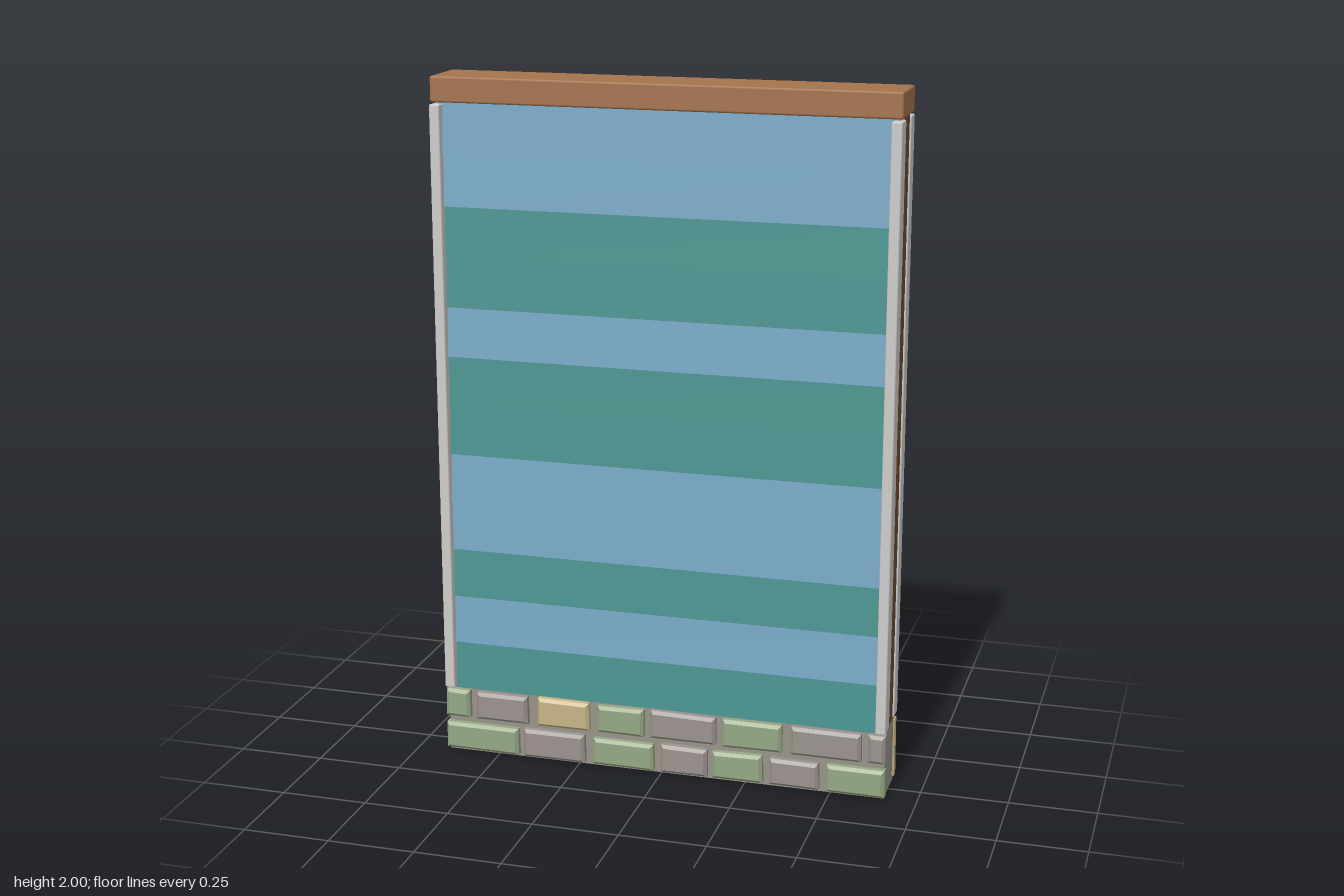
import * as THREE from 'three';
import { RoundedBoxGeometry } from 'three/addons/geometries/RoundedBoxGeometry.js';

function mat(name, color) {
  const m = new THREE.MeshStandardMaterial({ color });
  m.name = name;
  return m;
}

export function createModel() {
  const M = {
    beam: mat('brown wood', 0xa5734d),
    light: mat('light wood', 0xc49c6f),
    core: mat('dark wood', 0x6e4a32),
    blue: mat('blue paint', 0x78a8c6),
    teal: mat('teal paint', 0x4a9490),
    trim: mat('pale trim', 0xcfcdca),
    mortar: mat('mortar', 0x98948a),
    grey: mat('grey stone', 0x9b938f),
    green: mat('green stone', 0x95a884),
    sand: mat('sand stone', 0xc7b487),
  };
  const group = new THREE.Group();

  function add(name, geometry, material, x, y, z, rx = 0, rz = 0) {
    const mesh = new THREE.Mesh(geometry, material);
    mesh.name = name;
    mesh.position.set(x, y, z);
    mesh.rotation.set(rx, 0, rz);
    group.add(mesh);
    return mesh;
  }
  const box = (w, h, d) => new THREE.BoxGeometry(w, h, d);

  // Small repeatable variation between -1 and 1
  let seed = 7;
  const vary = () => {
    seed = (seed * 16807) % 2147483647;
    return (seed / 2147483647) * 2 - 1;
  };

  // Foundation, wall core and cap beam
  add('foundation', box(1.31, 0.2, 0.145), M.mortar, 0, 0.1, -0.003);
  add('wallCore', box(1.31, 1.74, 0.08), M.core, 0, 1.065, -0.002);
  add('capBeam', new RoundedBoxGeometry(1.32, 0.072, 0.17, 1, 0.006), M.beam, 0, 1.964, 0);

  // Corner trims on both faces
  for (const s of [-1, 1]) {
    add('frontTrim', new RoundedBoxGeometry(0.03, 1.72, 0.058, 1, 0.004), M.trim, s * 0.645, 1.063, 0.065);
    add('backTrim', new RoundedBoxGeometry(0.03, 1.72, 0.05, 1, 0.004), M.trim, s * 0.645, 1.063, -0.066);
  }

  // Lapped boards, listed from the bottom up
  const step = 1.727 / 12;
  const front = 'tbtbbttbttbb';
  const back = 'dllllddllddd';
  for (let i = 0; i < 12; i++) {
    const y = 0.2 + step * (i + 0.5);
    add('frontBoard', box(1.3, step + 0.004, 0.02), front[i] === 't' ? M.teal : M.blue,
      0, y, 0.06, -0.06, vary() * 0.001);
    add('backBoard', box(1.3, step - 0.01, 0.016), back[i] === 'd' ? M.beam : M.light,
      0, y, -0.054, 0.05, vary() * 0.001);
  }

  // Bevelled, slightly uneven stone whose outer face lies at z = 0
  function stoneGeometry(w, h, bevel) {
    const j = () => vary() * 0.003;
    const shape = new THREE.Shape([
      new THREE.Vector2(-w / 2, -h / 2 + Math.abs(j())),
      new THREE.Vector2(w / 2, -h / 2 + Math.abs(j())),
      new THREE.Vector2(w / 2 - Math.abs(j()), h / 2 + j()),
      new THREE.Vector2(-w / 2 + Math.abs(j()), h / 2 + j()),
    ]);
    const g = new THREE.ExtrudeGeometry(shape, {
      depth: 0.025, bevelEnabled: true, bevelSegments: 1,
      bevelSize: bevel, bevelThickness: bevel, bevelOffset: -bevel,
    });
    g.translate(0, 0, -0.025 - bevel);
    return g;
  }
  function row(name, stones, y0, y1, z, turn) {
    for (const [x0, x1, colour] of stones) {
      const mesh = add(name, stoneGeometry(x1 - x0, y1 - y0, 0.009), M[colour],
        (x0 + x1) / 2, (y0 + y1) / 2, z);
      mesh.rotation.y = turn;
    }
  }
  row('frontStone', [
    [-0.66, -0.585, 'green'], [-0.565, -0.405, 'grey'], [-0.375, -0.215, 'sand'],
    [-0.19, -0.05, 'green'], [-0.03, 0.165, 'grey'], [0.185, 0.36, 'green'],
    [0.385, 0.59, 'grey'], [0.61, 0.66, 'grey'],
  ], 0.11, 0.195, 0.094, 0);
  row('frontStone', [
    [-0.66, -0.435, 'green'], [-0.42, -0.23, 'grey'], [-0.205, -0.02, 'green'],
    [0, 0.14, 'grey'], [0.155, 0.305, 'green'], [0.325, 0.47, 'grey'], [0.49, 0.66, 'green'],
  ], 0.008, 0.092, 0.094, 0);
  row('backStone', [
    [-0.66, -0.5, 'grey'], [-0.475, -0.32, 'grey'], [-0.295, -0.095, 'grey'],
    [-0.07, 0.07, 'sand'], [0.095, 0.275, 'green'], [0.295, 0.43, 'grey'],
    [0.45, 0.615, 'sand'], [0.63, 0.66, 'sand'],
  ], 0.01, 0.19, -0.096, Math.PI);

  return group;
}
